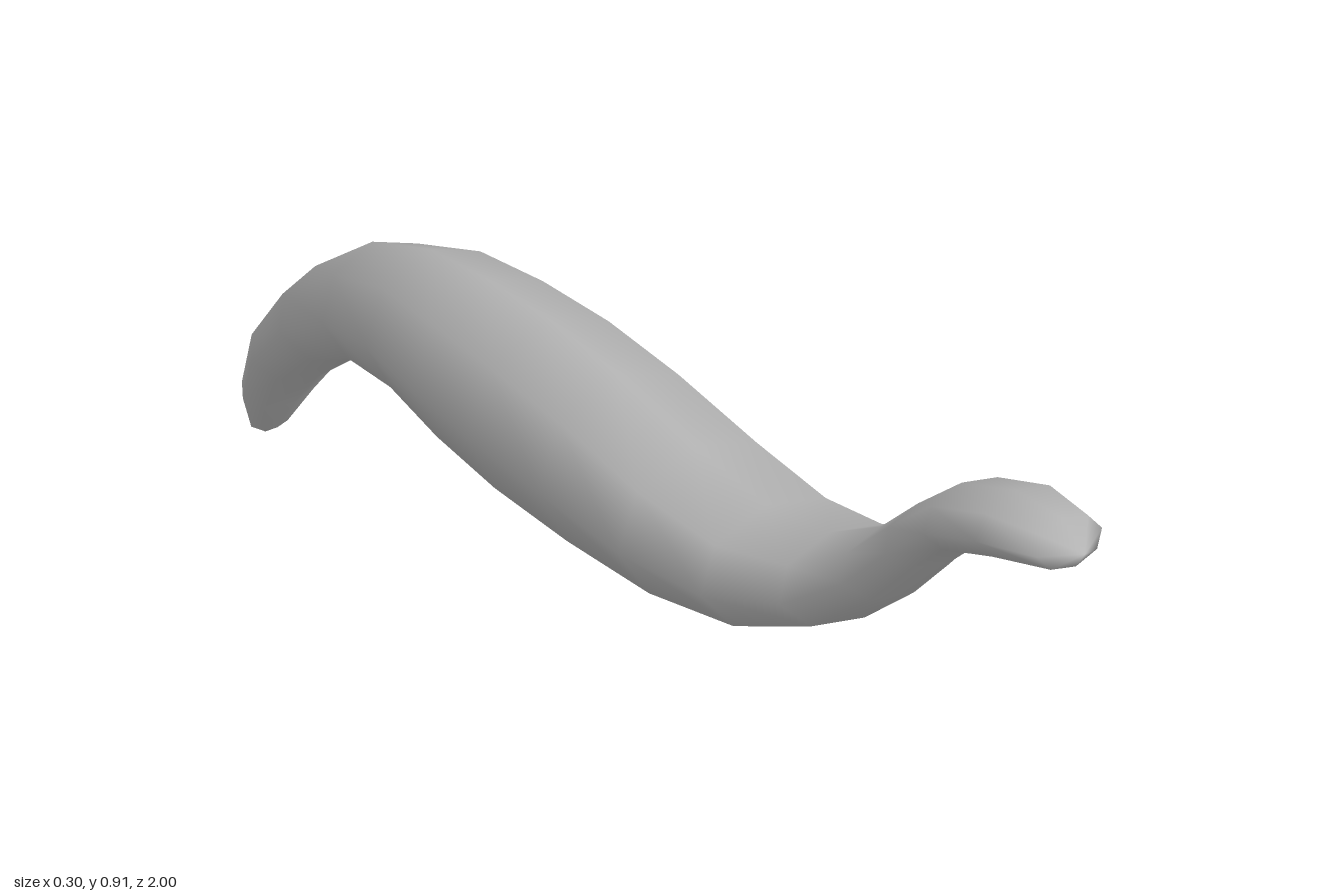
import * as THREE from 'three';

// Body stations from head to tail: [top z, top y, bottom z, bottom y, half width]
const STATIONS = [
  [0.955, 0.907, 0.985, 0.85, 0.055],
  [0.865, 0.9, 0.89, 0.82, 0.077],
  [0.76, 0.855, 0.8, 0.78, 0.08],
  [0.675, 0.775, 0.745, 0.72, 0.083],
  [0.6, 0.695, 0.675, 0.63, 0.094],
  [0.495, 0.627, 0.575, 0.53, 0.118],
  [0.355, 0.595, 0.42, 0.438, 0.139],
  [0.19, 0.605, 0.23, 0.38, 0.15],
  [0.005, 0.63, 0.03, 0.352, 0.152],
  [-0.165, 0.637, -0.155, 0.342, 0.152],
  [-0.325, 0.627, -0.315, 0.348, 0.144],
  [-0.475, 0.605, -0.455, 0.364, 0.128],
  [-0.635, 0.54, -0.59, 0.348, 0.111],
  [-0.805, 0.412, -0.705, 0.288, 0.102],
  [-0.92, 0.267, -0.815, 0.197, 0.091],
  [-0.985, 0.128, -0.89, 0.107, 0.068],
  [-0.997, 0.032, -0.945, 0.03, 0.035],
];
const SIDES = 8;

// Loft of octagonal rings, closed to a point at each end
function loftBody(stations, headTip, tailTip) {
  const positions = [];
  const index = [];
  for (const [tz, ty, bz, by, w] of stations) {
    for (let i = 0; i < SIDES; i++) {
      const a = (i / SIDES) * Math.PI * 2;
      const t = (1 + Math.sin(a)) / 2;
      positions.push(w * Math.cos(a), by + (ty - by) * t, bz + (tz - bz) * t);
    }
  }
  const head = stations.length * SIDES;
  const tail = head + 1;
  positions.push(...headTip, ...tailTip);

  const last = head - SIDES;
  for (let i = 0; i < SIDES; i++) {
    const j = (i + 1) % SIDES;
    for (let r = 0; r < last; r += SIDES) {
      const a = r + i, b = r + j, c = a + SIDES, d = b + SIDES;
      index.push(a, c, b, b, c, d);
    }
    index.push(head, i, j, tail, last + j, last + i);
  }
  const geometry = new THREE.BufferGeometry();
  geometry.setAttribute('position', new THREE.Float32BufferAttribute(positions, 3));
  geometry.setIndex(index);
  geometry.computeVertexNormals();
  return geometry;
}

export function createModel() {
  const group = new THREE.Group();
  group.name = 'curvedCreature';

  const skin = new THREE.MeshStandardMaterial({ color: 0xb4b4b4 });
  skin.name = 'grey skin';

  const body = new THREE.Mesh(loftBody(STATIONS, [0, 0.877, 1], [0, 0.0, -0.985]), skin);
  body.name = 'body';
  group.add(body);
  return group;
}
